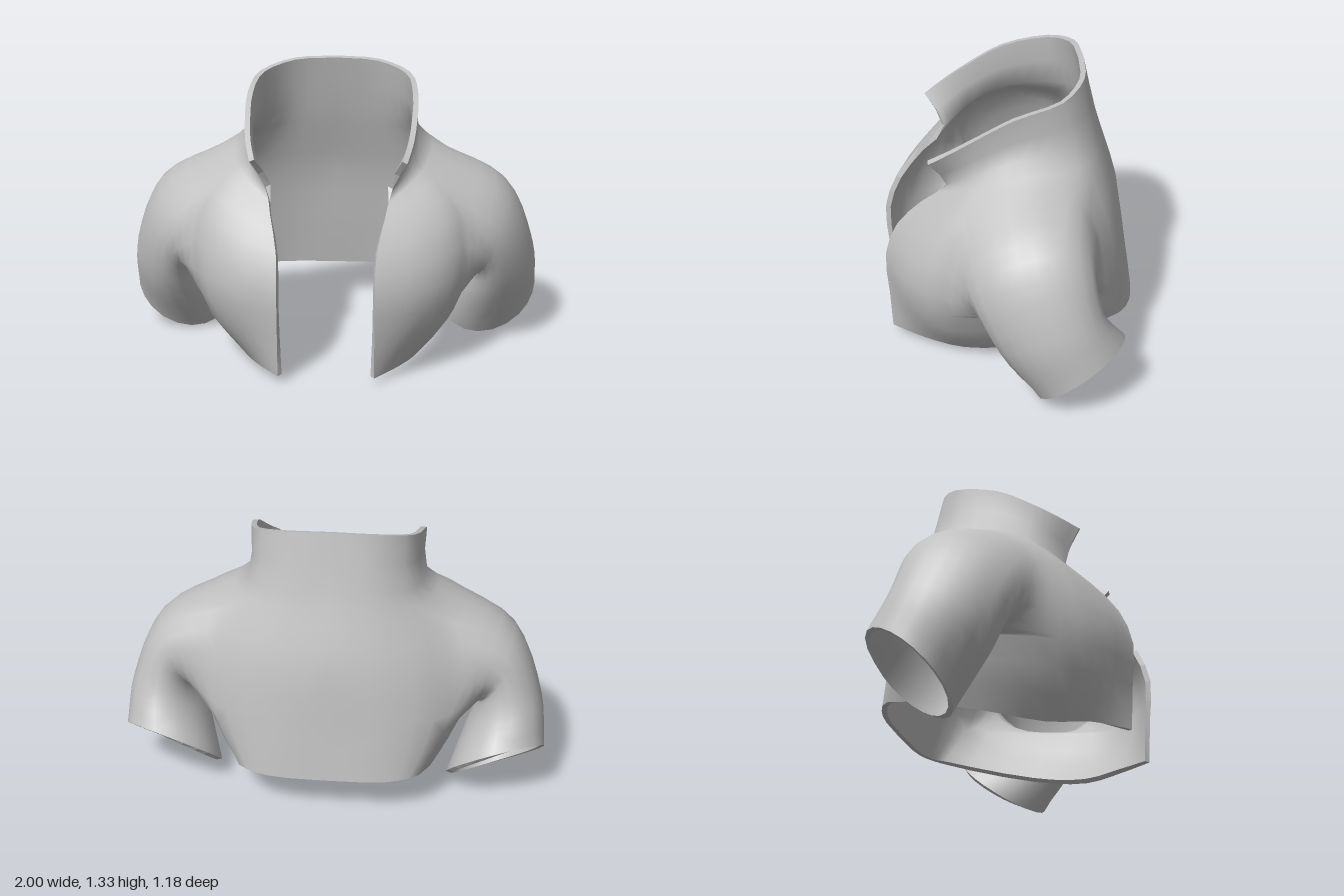
import * as THREE from 'three';
import { mergeVertices } from 'three/addons/utils/BufferGeometryUtils.js';

const COL_SUB = 3, ROW_SUB = 2, SLEEVE_STEPS = 4, THICK = 0.025;
const V = (p) => new THREE.Vector3(...p);

// One half of the garment, from the middle of the back (x = 0) to the front edge, top to hem
const ROWS = [
  [[0, 1.34, -.35], [.21, 1.33, -.33], [.36, 1.29, -.22], [.40, 1.23, 0], [.395, 1.13, .18], [.38, 1.06, .29], [.355, 1.00, .38]], // collar top
  [[0, 1.08, -.41], [.22, 1.07, -.39], [.37, 1.05, -.28], [.41, 1.03, -.03], [.39, .96, .15], [.35, .91, .23], [.29, .86, .30]], // neck base
  [[0, .92, -.46], [.26, .92, -.43], [.47, .93, -.30], [.55, .95, -.05], [.48, .88, .20], [.38, .82, .31], [.26, .76, .41]], // shoulder
  [[0, .72, -.52], [.28, .72, -.49], [.54, .74, -.37], [.66, .82, -.05], [.59, .74, .27], [.42, .67, .43], [.225, .62, .53]], // chest
  [[0, .48, -.55], [.29, .48, -.53], [.55, .48, -.41], [.66, .48, -.02], [.61, .46, .34], [.43, .455, .51], [.22, .45, .59]], // waist
  [[0, .33, -.57], [.28, .33, -.555], [.49, .32, -.45], [.60, .28, -.02], [.55, .23, .31], [.40, .235, .48], [.22, .24, .58]],
  [[0, .20, -.59], [.27, .20, -.575], [.42, .20, -.50], [.49, .09, -.05], [.42, .035, .23], [.34, .045, .42], [.22, .04, .57]], // hem
];

// Armhole limits in grid columns and rows
const HOLE = { c0: 6, c1: 12, r0: 4, r1: 9 };

// Sleeve cross-sections: centre, outward axis and radius, forward axis and radius
const RINGS = [
  { c: [.755, .585, -.06], u: [.36, .93, 0], ru: .215, v: [0, -.2, .98], rv: .28 },
  { c: [.80, .375, -.14], u: [.89, .45, 0], ru: .195, v: [0, -.4, .92], rv: .25 },
  { c: [.77, .17, -.28], u: [.95, .23, .19], ru: .24, v: [-.08, -.62, .77], rv: .25 },
];

function smooth(points, sub) {
  return new THREE.CatmullRomCurve3(points).getPoints((points.length - 1) * sub);
}

// Half shell: torso grid with an armhole, joined point to point with the sleeve
function halfShell() {
  const across = ROWS.map((row) => smooth(row.map(V), COL_SUB));
  const nc = across[0].length;
  const columns = [];
  for (let i = 0; i < nc; i++) columns.push(smooth(across.map((r) => r[i]), ROW_SUB));
  const nr = columns[0].length;
  const verts = columns.flat();
  const id = (i, j) => i * nr + j;
  const index = [];
  const quad = (a, b, c, d) => index.push(a, b, c, a, c, d);

  const { c0, c1, r0, r1 } = HOLE;
  for (let i = 0; i < nc - 1; i++) {
    for (let j = 0; j < nr - 1; j++) {
      if (i >= c0 && i < c1 && j >= r0 && j < r1) continue;
      quad(id(i, j), id(i + 1, j), id(i + 1, j + 1), id(i, j + 1));
    }
  }

  // Armhole loop with an angle for each point: top, front, bottom, back
  const loop = [];
  const side = (n, start, at) => {
    for (let k = 0; k < n; k++) loop.push({ id: at(k), a: (start + k / n) * Math.PI / 2 });
  };
  const w = c1 - c0, h = r1 - r0;
  side(w, -.5, (k) => id(c0 + k, r0));
  side(h, .5, (k) => id(c1, r0 + k));
  side(w, 1.5, (k) => id(c1 - k, r1));
  side(h, 2.5, (k) => id(c0, r1 - k));

  const strands = loop.map(({ id: start, a }) => {
    const path = [verts[start]];
    for (const r of RINGS) {
      path.push(V(r.c)
        .addScaledVector(V(r.u), r.ru * Math.cos(a))
        .addScaledVector(V(r.v), r.rv * Math.sin(a)));
    }
    const ids = [start];
    for (const p of smooth(path, SLEEVE_STEPS).slice(1)) ids.push(verts.push(p) - 1);
    return ids;
  });
  strands.forEach((s, k) => {
    const t = strands[(k + 1) % strands.length];
    for (let m = 0; m < s.length - 1; m++) quad(s[m], t[m], t[m + 1], s[m + 1]);
  });
  return { verts, index };
}

// Mirror the half and weld it along the middle of the back
function fullShell() {
  const { verts, index } = halfShell();
  const n = verts.length;
  const pos = [], idx = [...index];
  for (const s of [1, -1]) for (const p of verts) pos.push(s * p.x, p.y, p.z);
  for (let i = 0; i < index.length; i += 3) idx.push(n + index[i], n + index[i + 2], n + index[i + 1]);
  const g = new THREE.BufferGeometry();
  g.setAttribute('position', new THREE.Float32BufferAttribute(pos, 3));
  g.setIndex(idx);
  const welded = mergeVertices(g, 1e-4);
  welded.computeVertexNormals();
  return welded;
}

// Inner layer: the shell moved inwards and turned over
function liningOf(shell) {
  const g = shell.clone();
  const p = g.attributes.position, nrm = shell.attributes.normal;
  for (let i = 0; i < p.count; i++) {
    p.setXYZ(i, p.getX(i) - THICK * nrm.getX(i), p.getY(i) - THICK * nrm.getY(i), p.getZ(i) - THICK * nrm.getZ(i));
  }
  g.setIndex(Array.from(shell.index.array).reverse());
  g.computeVertexNormals();
  return g;
}

// Narrow faces that close the cloth thickness along every open edge
function edgeBand(shell, lining) {
  const idx = shell.index.array, edges = new Map();
  for (let i = 0; i < idx.length; i += 3) {
    for (let k = 0; k < 3; k++) {
      const a = idx[i + k], b = idx[i + (k + 1) % 3];
      edges.set(a + '_' + b, [a, b]);
    }
  }
  const pos = [];
  const add = (g, i) => {
    const p = g.attributes.position;
    pos.push(p.getX(i), p.getY(i), p.getZ(i));
  };
  for (const [a, b] of edges.values()) {
    if (edges.has(b + '_' + a)) continue;
    add(shell, b); add(shell, a); add(lining, a);
    add(shell, b); add(lining, a); add(lining, b);
  }
  const g = new THREE.BufferGeometry();
  g.setAttribute('position', new THREE.Float32BufferAttribute(pos, 3));
  g.computeVertexNormals();
  return g;
}

export function createModel() {
  const cloth = new THREE.MeshStandardMaterial({ color: 0xc0c0c0 });
  cloth.name = 'grey cloth';
  const jacket = new THREE.Group();
  jacket.name = 'jacket';
  const shell = fullShell(), lining = liningOf(shell);
  const parts = { outerCloth: shell, lining, edgeBand: edgeBand(shell, lining) };
  for (const [name, geometry] of Object.entries(parts)) {
    const mesh = new THREE.Mesh(geometry, cloth);
    mesh.name = name;
    jacket.add(mesh);
  }
  return jacket;
}
